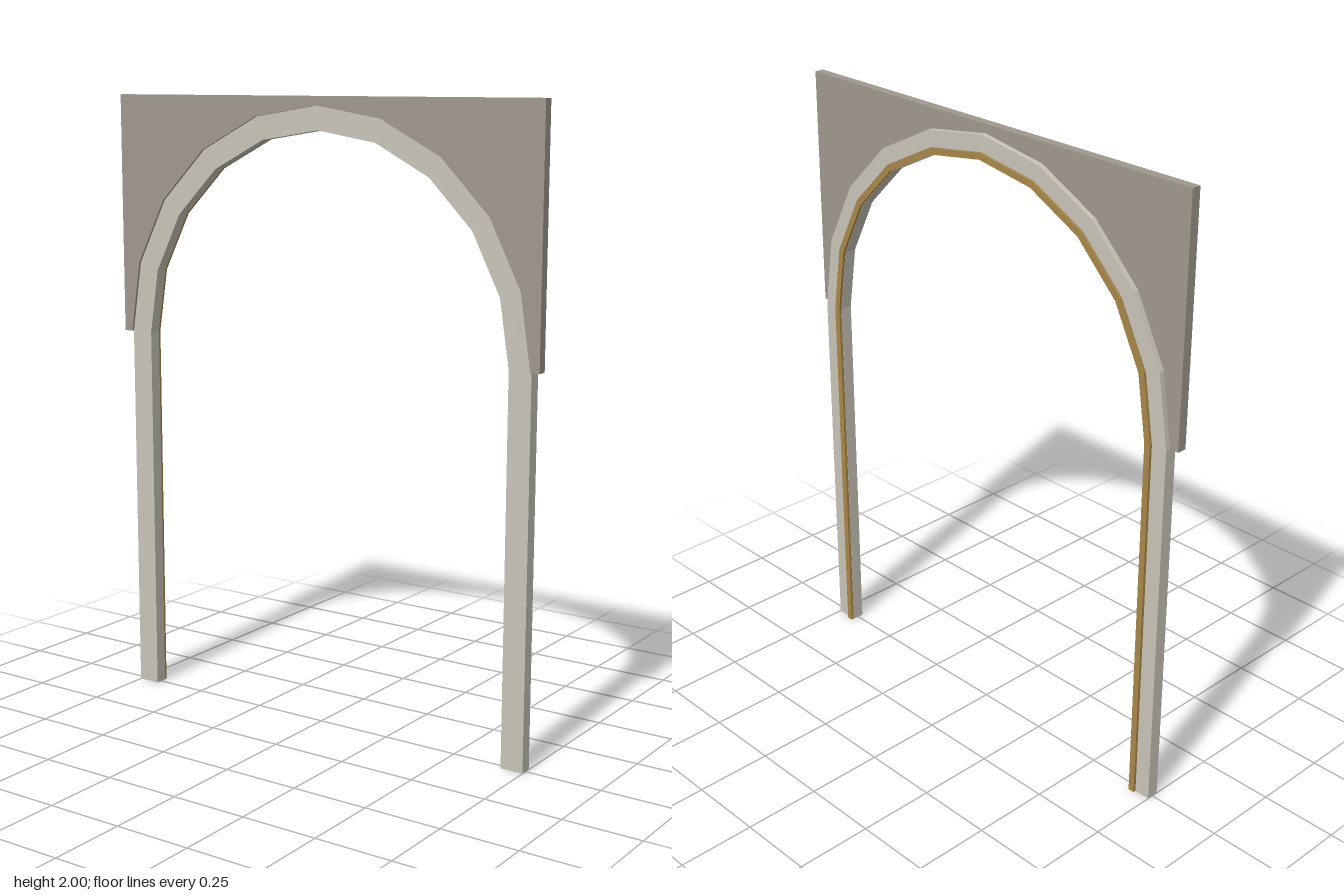
import * as THREE from 'three';

const SPRING = 1.222; // height where the curve begins
const SEGMENTS = 10;

// Points along the half circle, from right (+x) to left
function arc(radius) {
  return Array.from({ length: SEGMENTS + 1 }, (_, i) => {
    const a = (Math.PI * i) / SEGMENTS;
    return new THREE.Vector2(Math.cos(a) * radius, SPRING + Math.sin(a) * radius);
  });
}

// Line of an arch including its two legs
function archLine(radius) {
  return [new THREE.Vector2(radius, 0), ...arc(radius), new THREE.Vector2(-radius, 0)];
}

function slab(name, points, back, front, material) {
  const geometry = new THREE.ExtrudeGeometry(new THREE.Shape(points), {
    depth: front - back,
    bevelEnabled: false,
  });
  geometry.translate(0, 0, back);
  const mesh = new THREE.Mesh(geometry, material);
  mesh.name = name;
  return mesh;
}

function archBand(name, outer, inner, back, front, material) {
  return slab(name, [...archLine(outer), ...archLine(inner).reverse()], back, front, material);
}

export function createModel() {
  const paleStone = new THREE.MeshStandardMaterial({ name: 'paleStone', color: 0xc9c4b8 });
  const darkStone = new THREE.MeshStandardMaterial({ name: 'darkStone', color: 0xa0988c });
  const gold = new THREE.MeshStandardMaterial({ name: 'gold', color: 0xa8884a });

  const group = new THREE.Group();
  group.name = 'archway';

  // Spandrel panel with a half-round cut-out
  const w = 0.78;
  const panel = [
    new THREE.Vector2(w, SPRING),
    new THREE.Vector2(w, 2),
    new THREE.Vector2(-w, 2),
    new THREE.Vector2(-w, SPRING),
    ...arc(0.75).reverse(),
  ];
  group.add(slab('spandrelPanel', panel, -0.003, 0.028, darkStone));

  // Stone arch with legs, and the thin trim along its rear inner edge
  group.add(archBand('stoneArch', 0.75, 0.675, -0.02, 0.02, paleStone));
  group.add(archBand('goldTrim', 0.697, 0.676, -0.029, -0.02, gold));

  return group;
}
